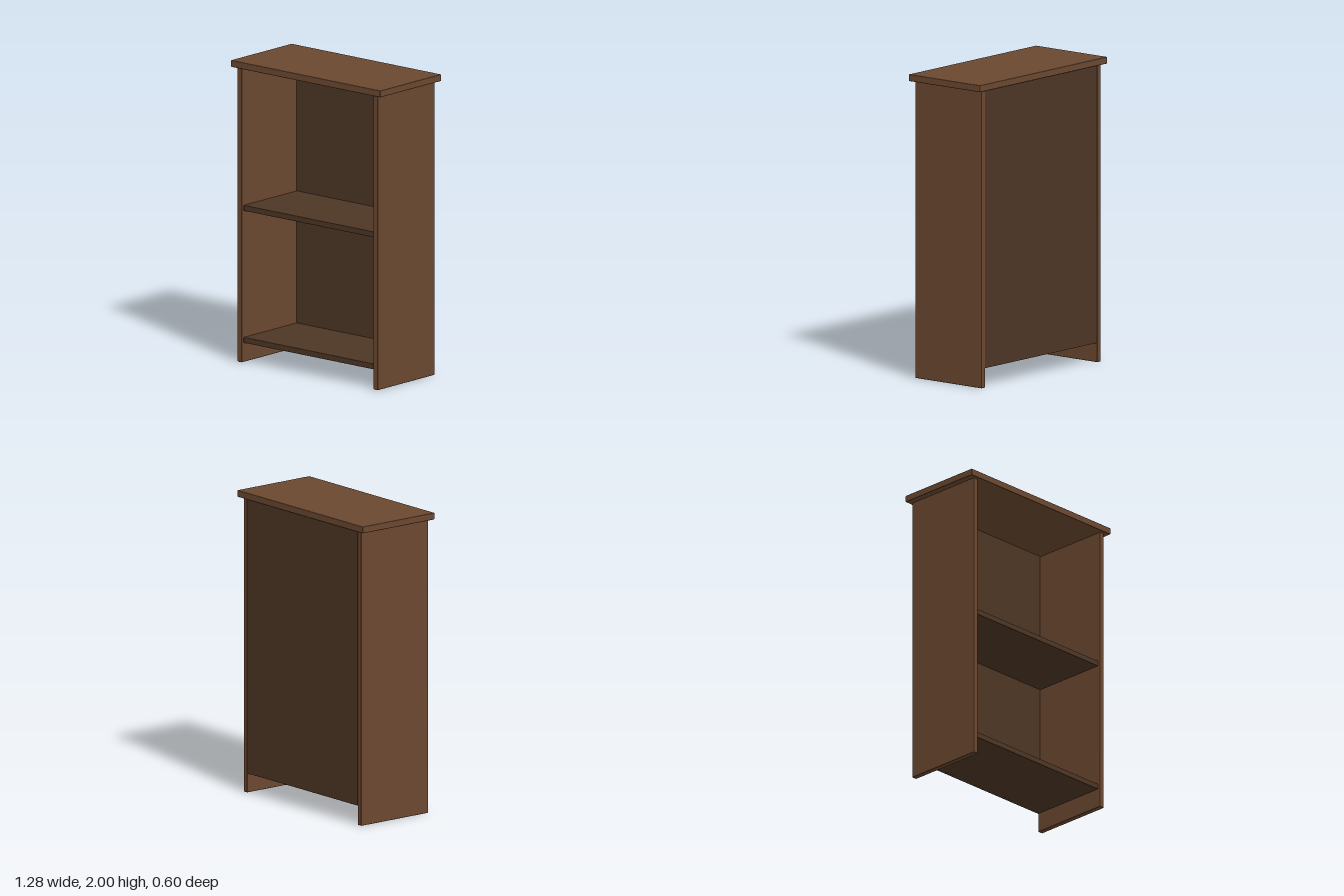
import * as THREE from 'three';
import { RoundedBoxGeometry } from 'three/addons/geometries/RoundedBoxGeometry.js';

export function createModel() {
  const group = new THREE.Group();
  group.name = 'bookcase';
  const frameWood = new THREE.MeshStandardMaterial({ color: 0x6b4830 });
  const innerWood = new THREE.MeshStandardMaterial({ color: 0x4d3625 });

  // A board given by its extents on each axis, with slightly eased edges
  function board(name, [x0, x1], [y0, y1], [z0, z1], material, ease = 0.005) {
    const geometry = new RoundedBoxGeometry(x1 - x0, y1 - y0, z1 - z0, 2, ease);
    const mesh = new THREE.Mesh(geometry, material);
    mesh.name = name;
    mesh.position.set((x0 + x1) / 2, (y0 + y1) / 2, (z0 + z1) / 2);
    group.add(mesh);
  }

  // Overhanging top
  board('top', [-0.64, 0.64], [1.955, 2], [-0.3, 0.3], frameWood);

  // Side panels, running down to the floor as feet
  board('leftSide', [0.563, 0.6], [0, 1.955], [-0.28, 0.28], frameWood);
  board('rightSide', [-0.6, -0.563], [0, 1.955], [-0.28, 0.28], frameWood);

  // Back panel, flush with the rear edges of the sides
  board('backPanel', [-0.563, 0.563], [0.128, 1.955], [-0.279, -0.26], innerWood, 0.001);

  // Shelves, set slightly behind the front edges
  board('bottomShelf', [-0.563, 0.563], [0.128, 0.165], [-0.262, 0.262], innerWood, 0.003);
  board('middleShelf', [-0.563, 0.563], [1.005, 1.042], [-0.262, 0.262], innerWood, 0.003);

  return group;
}
